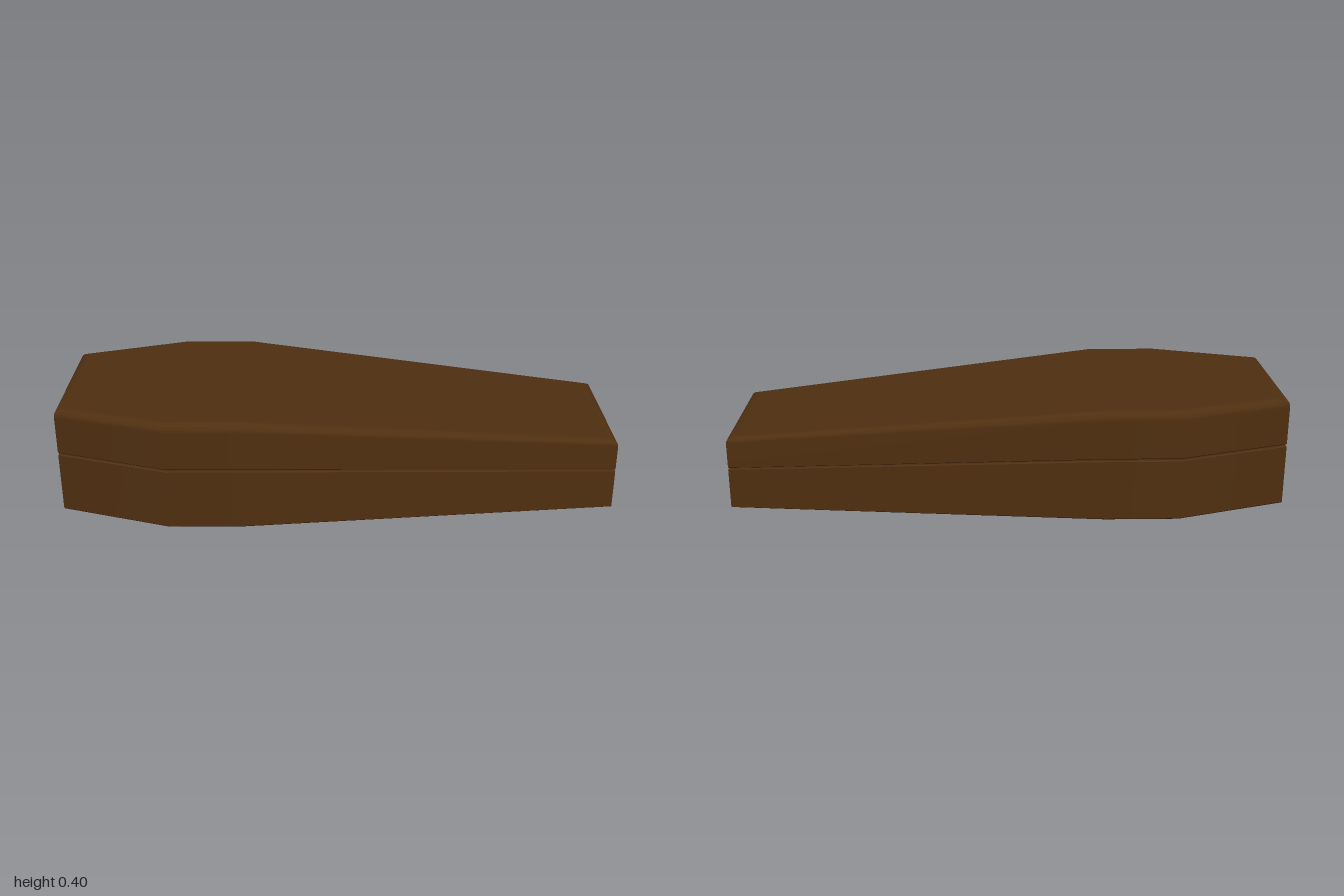
import * as THREE from 'three';
import { toCreasedNormals } from 'three/addons/utils/BufferGeometryUtils.js';

// Plan outline [x, z], counter-clockwise seen from above; mirrored front to back
const half = [[-1, 0.265], [-0.6, 0.4], [-0.34, 0.4], [1, 0.265]];
const outline = [...half, ...half.map(([x, z]) => [x, -z]).reverse()];
const N = outline.length;

// Heights shrink evenly from the shoulders to the foot
const taper = (x) => 1 - 0.33 * Math.max(0, (x + 0.34) / 1.34);

// Outline moved inwards by d with mitred corners
function inset(d) {
  const normal = (a, b) => {
    const l = Math.hypot(b[0] - a[0], b[1] - a[1]);
    return [(b[1] - a[1]) / l, -(b[0] - a[0]) / l];
  };
  return outline.map((p, i) => {
    const n = normal(outline[(i + N - 1) % N], p);
    const m = normal(p, outline[(i + 1) % N]);
    const k = d / (1 + n[0] * m[0] + n[1] * m[1]);
    return [p[0] + (n[0] + m[0]) * k, p[1] + (n[1] + m[1]) * k];
  });
}

// Closed solid through rings of [inset, height], listed from bottom to top
function loft(rings) {
  const pos = [], idx = [];
  const quad = (a, b, c, d) => idx.push(a, b, c, a, c, d);
  rings.forEach(([d, h], j) => {
    inset(d).forEach(([x, z], i) => {
      pos.push(x, h * taper(x), z);
      if (j) {
        const n = (i + 1) % N, lo = (j - 1) * N, hi = j * N;
        quad(lo + i, lo + n, hi + n, hi + i);
      }
    });
  });
  const top = (rings.length - 1) * N;
  for (let i = 0; i < 3; i++) {
    quad(top + i, top + i + 1, top + 6 - i, top + 7 - i);
    quad(7 - i, 6 - i, i + 1, i);
  }
  const g = new THREE.BufferGeometry();
  g.setAttribute('position', new THREE.Float32BufferAttribute(pos, 3));
  g.setIndex(idx);
  return toCreasedNormals(g, 0.6);
}

export function createModel() {
  const group = new THREE.Group();
  const wood = new THREE.MeshStandardMaterial({ color: 0x4f2f10 });
  wood.name = 'dark brown wood';
  const add = (name, rings) => {
    const mesh = new THREE.Mesh(loft(rings), wood);
    mesh.name = name;
    group.add(mesh);
  };

  // Lower box with slightly eased edges
  add('base', [[0.004, 0], [0, 0.004], [0, 0.008], [0, 0.216], [0, 0.219], [0.003, 0.222]]);

  // Recessed strip that forms the seam
  add('seam', [[0.009, 0.218], [0.009, 0.232]]);

  // Lid with a rounded upper rim
  const r = 0.028, rim = [];
  for (let i = 0; i <= 5; i++) {
    const a = (i / 5) * Math.PI / 2;
    rim.push([r * (1 - Math.cos(a)), 0.4 - r * (1 - Math.sin(a))]);
  }
  add('lid', [[0.003, 0.228], [0, 0.231], [0, 0.234], [0, 0.368], ...rim, [r + 0.004, 0.4]]);

  return group;
}
